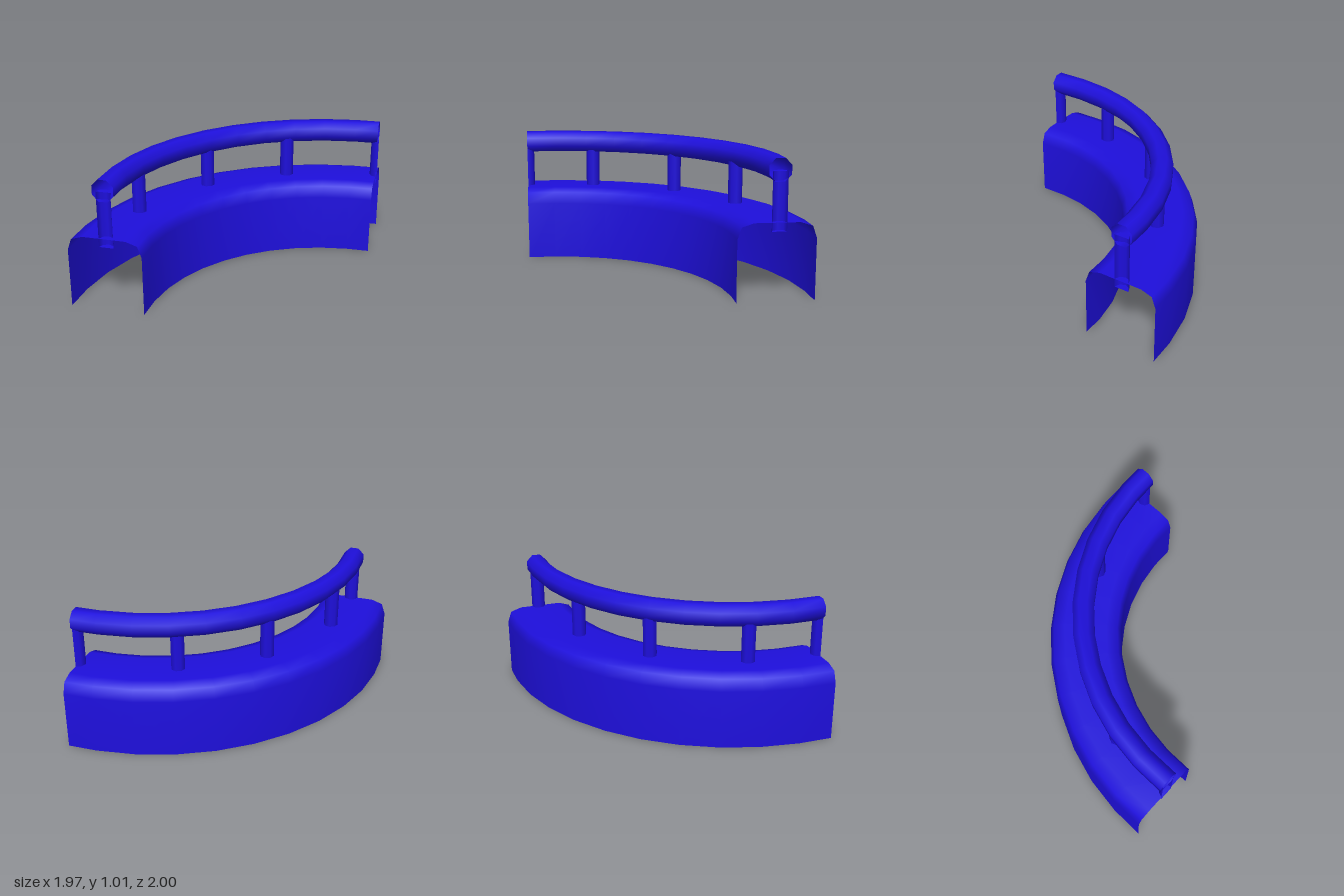
import * as THREE from 'three';

const END_X = 0.98, END_Z = 1;
const material = new THREE.MeshStandardMaterial({ color: 0x1e0fdc, side: THREE.DoubleSide });

// Sweep a section of [radius, height] points through a quarter turn about (cx, cz),
// with short straight ends that finish on the two end planes.
function sweep(section, cx, cz, closed) {
  const n = section.length, positions = [], index = [], stations = 12;
  for (let i = 0; i < stations; i++) {
    const a = THREE.MathUtils.degToRad(4.5 + 9 * (i - 1));
    for (const [r, y] of section) {
      if (i === 0) positions.push(cx - r, y, END_Z);
      else if (i === stations - 1) positions.push(END_X, y, cz - r);
      else positions.push(cx - r * Math.cos(a), y, cz - r * Math.sin(a));
    }
  }
  for (let i = 0; i < stations - 1; i++) {
    for (let j = 0; j < (closed ? n : n - 1); j++) {
      const k = (j + 1) % n;
      const a = i * n + j, b = i * n + k, c = a + n, d = b + n;
      index.push(a, b, c, b, d, c);
    }
  }
  const geometry = new THREE.BufferGeometry();
  geometry.setAttribute('position', new THREE.Float32BufferAttribute(positions, 3));
  geometry.setIndex(index);
  geometry.computeVertexNormals();
  return geometry;
}

export function createModel() {
  const group = new THREE.Group();
  const add = (name, geometry) => {
    const mesh = new THREE.Mesh(geometry, material);
    mesh.name = name;
    group.add(mesh);
    return mesh;
  };

  // Hollow curved wall, open below and at both ends, with bevelled shoulders
  const outer = 1.893, inner = 1.338;
  const shoulder = [[0, 0], [0, 0.45], [0.03, 0.535], [0.115, 0.563]];
  const wall = [
    ...shoulder.map(([d, y]) => [outer - d, y]),
    ...shoulder.map(([d, y]) => [inner + d, y]).reverse(),
  ];
  add('wall', sweep(wall, 0.908, 0.893, false));

  // Eight-sided handrail, open at both ends
  const rail = [];
  for (let i = 0; i < 8; i++) {
    const t = (i + 0.5) * Math.PI / 4;
    rail.push([1.613 + 0.085 * Math.cos(t), 0.927 + 0.088 * Math.sin(t)]);
  }
  add('handrail', sweep(rail, 0.92, 0.88, true));

  // Posts: half posts on the end planes, full posts between
  const posts = [
    [-0.69, END_Z, Math.PI / 2, Math.PI],
    [-0.64, 0.46, 0, Math.PI * 2],
    [-0.30, -0.18, 0, Math.PI * 2],
    [0.26, -0.57, 0, Math.PI * 2],
    [END_X, -0.735, Math.PI, Math.PI],
  ];
  for (const [x, z, start, length] of posts) {
    const sides = length > 4 ? 8 : 4;
    const post = add('post', new THREE.CylinderGeometry(0.054, 0.054, 0.42, sides, 1, false, start, length));
    post.position.set(x, 0.71, z);
  }
  return group;
}
